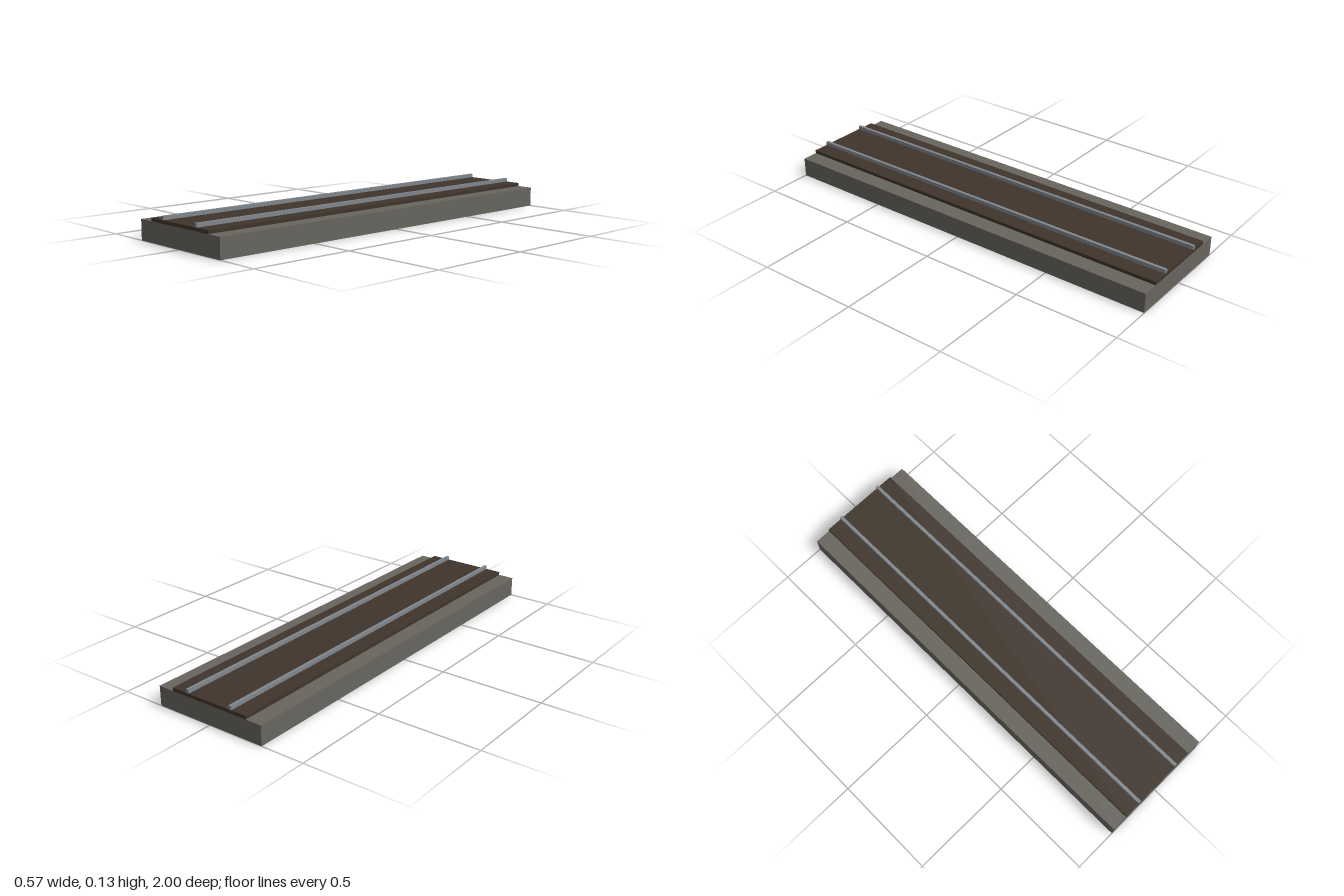
import * as THREE from 'three';

const LENGTH = 2;

function material(name, color) {
  const m = new THREE.MeshStandardMaterial({ color });
  m.name = name;
  return m;
}

// Full-length bar, placed by its centre x and its bottom and top heights
function bar(name, width, bottom, top, x, mat) {
  const mesh = new THREE.Mesh(new THREE.BoxGeometry(width, top - bottom, LENGTH), mat);
  mesh.name = name;
  mesh.position.set(x, (bottom + top) / 2, 0);
  return mesh;
}

export function createModel() {
  const gravel = material('gravel grey', 0x68655f);
  const wood = material('dark wood', 0x3f352b);
  const steel = material('rail steel', 0x80878d);

  const track = new THREE.Group();
  track.name = 'railTrack';

  // Gravel bed and the timber deck on it
  track.add(bar('ballastBed', 0.572, 0, 0.095, 0, gravel));
  track.add(bar('timberDeck', 0.412, 0.095, 0.111, 0, wood));

  // Pair of rails
  for (const [name, side] of [['leftRail', 1], ['rightRail', -1]]) {
    track.add(bar(name, 0.015, 0.111, 0.129, side * 0.12, steel));
  }
  return track;
}
